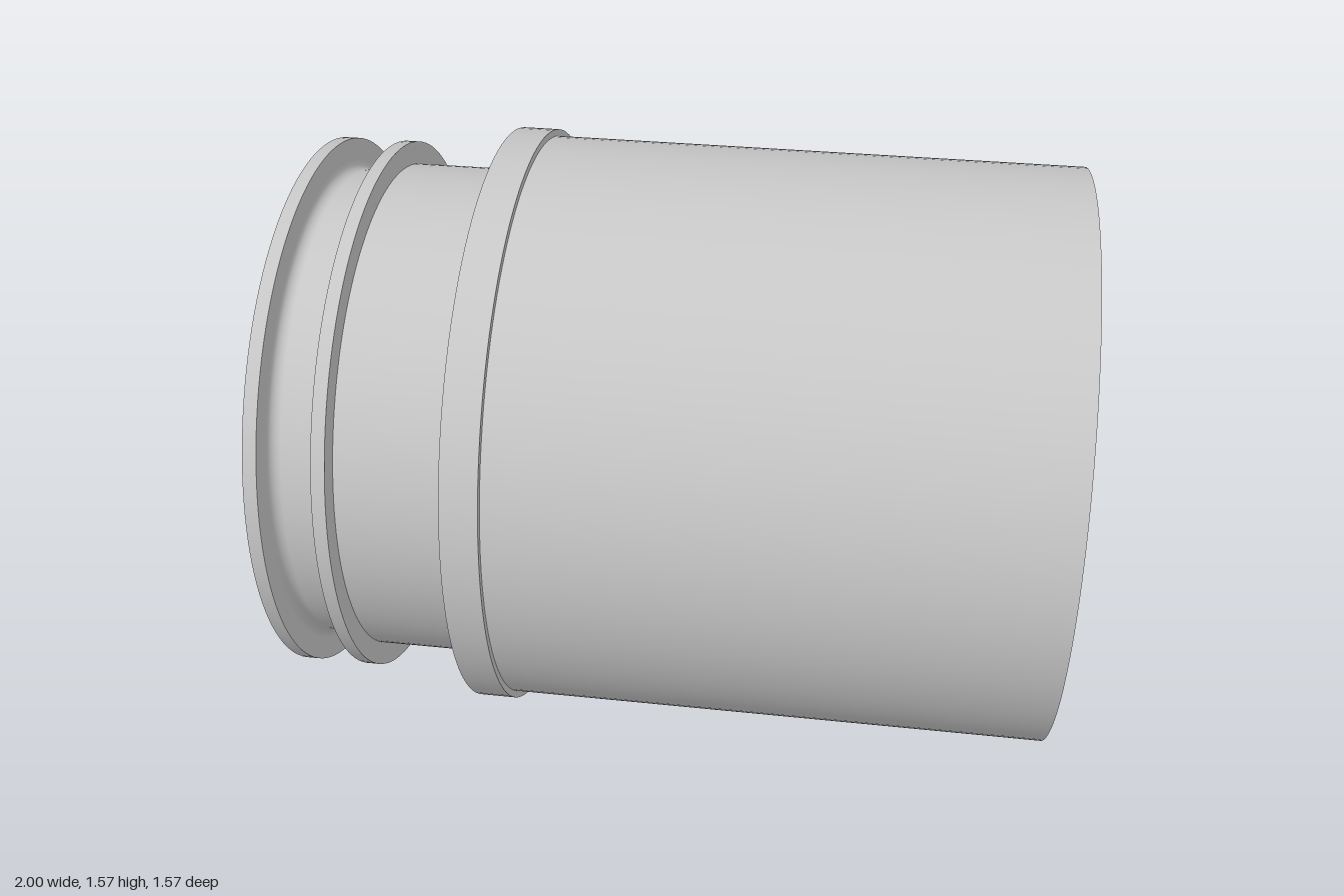
import * as THREE from 'three';
import { mergeGeometries } from 'three/addons/utils/BufferGeometryUtils.js';

const SEGMENTS = 128;
const AXIS_HEIGHT = 0.785;

// Each band is a list of [axial position, radius]; smooth inside, sharp between bands.
function turned(bands) {
  const parts = bands.map((band) =>
    new THREE.LatheGeometry(band.map(([x, r]) => new THREE.Vector2(r, x)), SEGMENTS));
  return mergeGeometries(parts).rotateZ(-Math.PI / 2);
}

// Straight profile: every stretch becomes its own sharp-edged band.
function straight(points) {
  return points.slice(1).map((p, i) => [points[i], p]);
}

// Quarter-ellipse fillet running from the point at angle a0 to the point at angle a1.
function fillet(cx, cr, rx, rr, a0, a1, steps = 8) {
  return Array.from({ length: steps + 1 }, (_, i) => {
    const a = a0 + ((a1 - a0) * i) / steps;
    return [cx + rx * Math.cos(a), cr + rr * Math.sin(a)];
  });
}

export function createModel() {
  const grey = new THREE.MeshStandardMaterial({ color: 0xc8c8c8 });
  grey.name = 'grey';
  const group = new THREE.Group();
  group.name = 'flangedSleeve';

  const add = (name, bands) => {
    const mesh = new THREE.Mesh(turned(bands), grey);
    mesh.name = name;
    mesh.position.y = AXIS_HEIGHT;
    group.add(mesh);
  };

  // Flat end and thin lip
  add('endFlange', straight([[-1, 0.575], [-1, 0.73], [-0.965, 0.73], [-0.965, 0.67]]));

  // Groove with rounded inner corners
  add('ringGroove', [[
    ...fillet(-0.935, 0.67, 0.03, 0.025, Math.PI, Math.PI * 1.5),
    ...fillet(-0.86, 0.67, 0.03, 0.025, Math.PI * 1.5, Math.PI * 2),
  ]]);

  // Second lip and plain neck
  add('innerLip', straight([[-0.83, 0.67], [-0.83, 0.73], [-0.795, 0.73], [-0.795, 0.67]]));
  add('neck', straight([[-0.795, 0.67], [-0.5, 0.67]]));

  // Raised shoulder
  add('shoulder', straight([[-0.5, 0.67], [-0.5, 0.785], [-0.405, 0.785], [-0.405, 0.767]]));

  // Outer sleeve with its rim and tapered inside
  add('outerSleeve', straight([[-0.405, 0.767], [1, 0.767], [1, 0.727], [-0.4, 0.655]]));

  // Floor of the gap, tapered inner tube and its rim
  add('innerTube', straight([[-0.4, 0.655], [-0.4, 0.625], [1, 0.6], [1, 0.54]]));

  // Bore, easing wider towards the flanged end
  const ease = Array.from({ length: 11 }, (_, i) => {
    const t = i / 10;
    return [-0.5 - 0.2 * t, 0.54 + 0.035 * t * t * (3 - 2 * t)];
  });
  add('bore', [[[1, 0.54], ...ease, [-1, 0.575]]]);

  return group;
}
